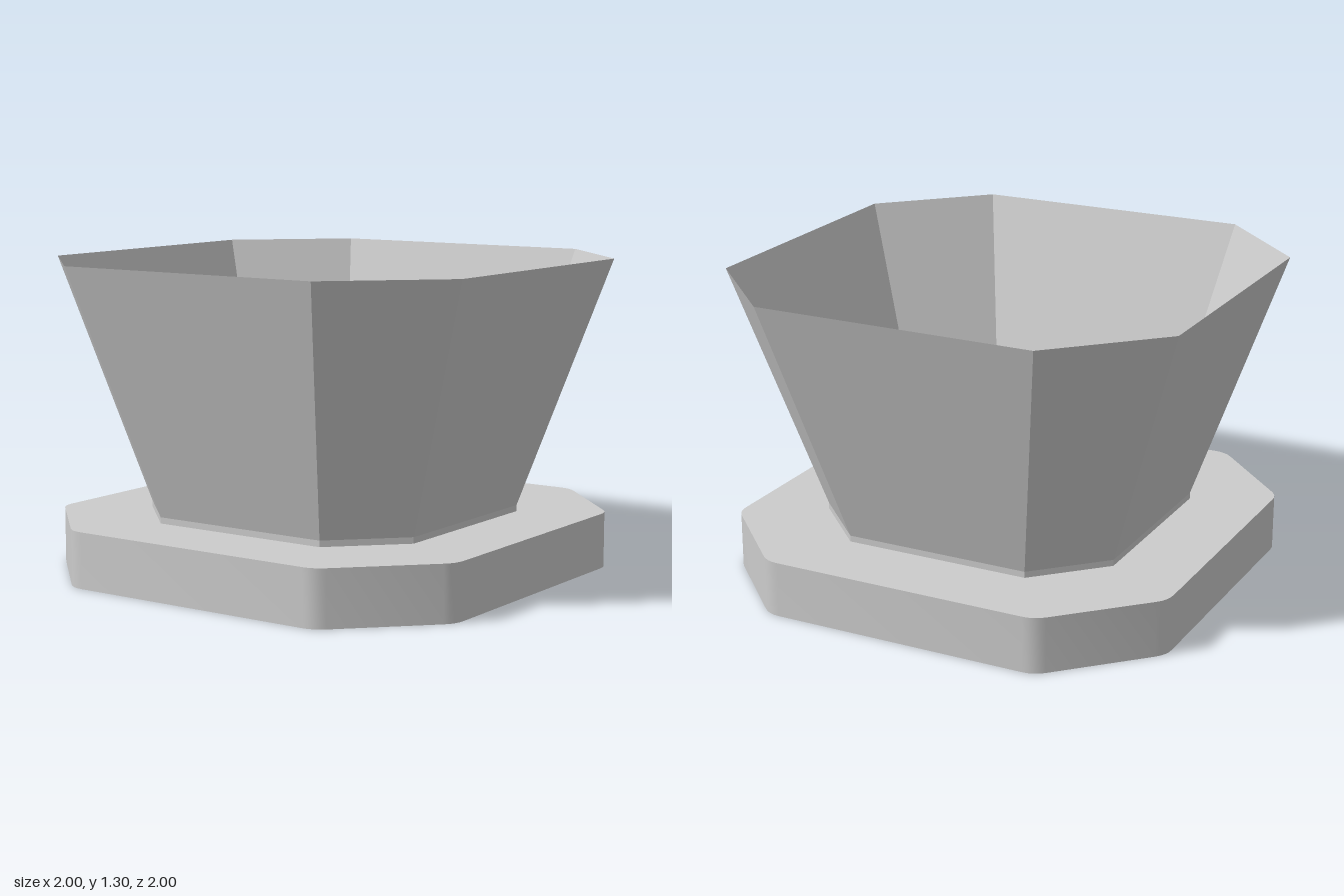
import * as THREE from 'three';
import { toCreasedNormals } from 'three/addons/utils/BufferGeometryUtils.js';

// corners of a square of half-width r whose sides keep a flat half-length f
function octagon(r, f) {
  return [[r, -f], [r, f], [f, r], [-f, r], [-r, f], [-r, -f], [-f, -r], [f, -r]]
    .map(([x, y]) => new THREE.Vector2(x, y));
}

// octagon outline with each corner rounded off over a distance d
function roundedOctagon(r, f, d) {
  const pts = octagon(r, f);
  const shape = new THREE.Shape();
  pts.forEach((p, i) => {
    const toward = (q) => q.clone().sub(p).setLength(d).add(p);
    const a = toward(pts[(i + 7) % 8]), b = toward(pts[(i + 1) % 8]);
    if (i === 0) shape.moveTo(a.x, a.y); else shape.lineTo(a.x, a.y);
    shape.quadraticCurveTo(p.x, p.y, b.x, b.y);
  });
  shape.closePath();
  return shape;
}

// upright slab from y0 to y1
function slab(shape, y0, y1) {
  const g = new THREE.ExtrudeGeometry(shape, { depth: y1 - y0, bevelEnabled: false, curveSegments: 4 });
  return g.rotateX(-Math.PI / 2).translate(0, y0, 0);
}

// flat-sided wall joining two octagons at different heights
function wall(lower, y0, upper, y1) {
  const pos = [];
  for (let i = 0; i < 8; i++) {
    const j = (i + 1) % 8;
    const a = [lower[i].x, y0, -lower[i].y], b = [lower[j].x, y0, -lower[j].y];
    const c = [upper[j].x, y1, -upper[j].y], d = [upper[i].x, y1, -upper[i].y];
    pos.push(...a, ...b, ...c, ...a, ...c, ...d);
  }
  const g = new THREE.BufferGeometry();
  g.setAttribute('position', new THREE.Float32BufferAttribute(pos, 3));
  g.computeVertexNormals();
  return g;
}

export function createModel() {
  const group = new THREE.Group();
  const solid = new THREE.MeshStandardMaterial({ color: 0xcccccc });
  const thin = new THREE.MeshStandardMaterial({ color: 0xcccccc, side: THREE.DoubleSide });
  const add = (name, geometry, material) => {
    const mesh = new THREE.Mesh(geometry, material);
    mesh.name = name;
    group.add(mesh);
  };

  // saucer with softly rounded corners
  add('saucer', toCreasedNormals(slab(roundedOctagon(0.988, 0.6, 0.05), 0, 0.234), 0.6), solid);
  // low foot, whose top is the floor of the pot
  add('potFloor', slab(new THREE.Shape(octagon(0.665, 0.4)), 0.234, 0.26), solid);
  // thin flared wall, open at the top
  add('potWall', wall(octagon(0.665, 0.4), 0.26, octagon(1, 0.6), 1.305), thin);

  return group;
}
